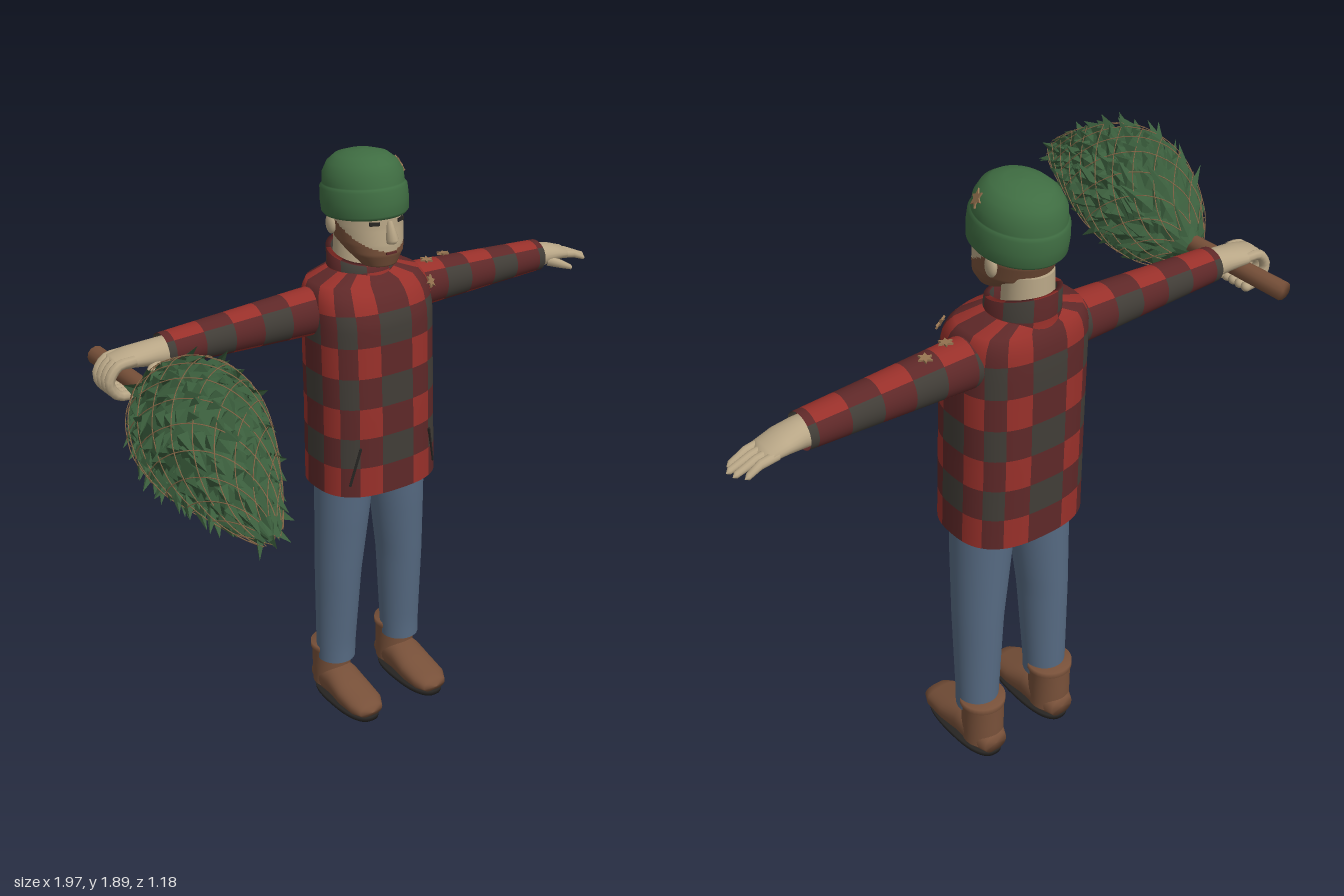
import * as THREE from 'three';
import { mergeGeometries } from 'three/addons/utils/BufferGeometryUtils.js';

const X = 0.096; // centre line of the man

const material = (name, color, extra = {}) => {
  const m = new THREE.MeshStandardMaterial({ color, ...extra });
  m.name = name;
  return m;
};

// Places ring coordinates (a, t, b) so that lofts run along each axis
const alongY = (a, t, b) => [a, t, b];
const alongX = (a, t, b) => [t, b, a];
const alongZ = (a, t, b) => [b, a, t];

// Evenly spaced rings between key rings [t, centreA, centreB, radiusA, radiusB]
function resample(keys, count) {
  const first = keys[0][0], last = keys[keys.length - 1][0], out = [];
  for (let k = 0; k <= count; k++) {
    const t = first + (last - first) * k / count;
    let s = 0;
    while (s < keys.length - 2 && t > keys[s + 1][0]) s++;
    const f = (t - keys[s][0]) / (keys[s + 1][0] - keys[s][0]);
    out.push(keys[s].map((v, c) => v + (keys[s + 1][c] - v) * f));
  }
  return out;
}

// Skin of superellipse rings; pick(i, j, x, y, z) chooses the material of a face
function loft(rings, n, place, pick = () => 0, power = 2) {
  const pos = [], lists = [];
  const bend = v => Math.sign(v) * Math.abs(v) ** (2 / power);
  for (const [t, ca, cb, ra, rb] of rings) {
    for (let i = 0; i < n; i++) {
      const w = i / n * Math.PI * 2;
      pos.push(...place(ca + ra * bend(Math.cos(w)), t, cb + rb * bend(Math.sin(w))));
    }
  }
  for (let j = 0; j < rings.length - 1; j++) {
    for (let i = 0; i < n; i++) {
      const p = j * n + i, q = j * n + (i + 1) % n;
      const mid = [0, 1, 2].map(c => (pos[p * 3 + c] + pos[(q + n) * 3 + c]) / 2);
      (lists[pick(i, j, ...mid)] ??= []).push(p, p + n, q, q, p + n, q + n);
    }
  }
  const g = new THREE.BufferGeometry();
  g.setAttribute('position', new THREE.Float32BufferAttribute(pos, 3));
  let start = 0;
  lists.forEach((l, m) => { g.addGroup(start, l.length, m); start += l.length; });
  g.setIndex(lists.flat());
  g.computeVertexNormals();
  return g;
}

const tube = (points, r, seg = 12, sides = 8) => new THREE.TubeGeometry(
  new THREE.CatmullRomCurve3(points.map(p => new THREE.Vector3(...p))), seg, r, sides);

export function createModel() {
  const model = new THREE.Group();
  const skin = material('skin', 0xb8a686), hatGreen = material('hat green', 0x3f6d42);
  const needle = material('needle green', 0x3a5d3c, { side: THREE.DoubleSide, flatShading: true });
  const denim = material('denim', 0x566a82), brown = material('brown', 0x775039);
  const red = material('red', 0x98302a, { side: THREE.DoubleSide });
  const darkRed = material('dark red', 0x5e2828, { side: THREE.DoubleSide });
  const grey = material('dark grey', 0x413d37, { side: THREE.DoubleSide });
  const tan = material('tan', 0x957350), black = material('black', 0x272523);
  const plaid = [red, darkRed, grey];
  const check = (p, q) => (p & 1) + (q & 1);

  const add = (name, geometry, mat, p = [0, 0, 0], r = [0, 0, 0]) => {
    const m = new THREE.Mesh(geometry, mat);
    m.name = name;
    m.position.set(...p);
    m.rotation.set(...r);
    model.add(m);
    return m;
  };
  const ball = (name, mat, p, s) => add(name, new THREE.SphereGeometry(1, 16, 12), mat, p).scale.set(...s);

  // Checked jacket, hem and collar
  const body = resample([[0.83, X, -0.388, 0.208, 0.164], [1.1, X, -0.388, 0.203, 0.165],
    [1.4, X, -0.39, 0.203, 0.16], [1.47, X, -0.4, 0.2, 0.145],
    [1.505, X, -0.41, 0.18, 0.12], [1.53, X, -0.42, 0.1, 0.09]], 28);
  add('jacket', loft(body, 64, alongY,
    (i, j) => check(Math.floor((i + 2) / 4) + 1, Math.floor(j / 4)), 2.6), plaid);
  add('jacketUnderside', loft([[0.845, X, -0.388, 0, 0], [0.835, X, -0.388, 0.205, 0.161]], 64, alongY, undefined, 2.6), grey);
  add('collar', loft([[1.5, X, -0.42, 0.115, 0.11], [1.53, X, -0.422, 0.105, 0.105], [1.575, X, -0.425, 0.104, 0.103],
    [1.575, X, -0.425, 0.088, 0.088], [1.5, X, -0.42, 0.085, 0.085]], 48, (a, t, b) =>
    [a, t > 1.55 ? t - (b + 0.425) * 0.25 : t, b],
    (i, j) => check(Math.floor((i + 3) / 6), j)), plaid);

  for (const s of [-1, 1]) {
    // Sleeves with checks along and around
    const sleeve = [[0.12, -0.42, 1.415, 0.074, 0.077], [0.22, -0.42, 1.415, 0.07, 0.074],
      [0.695, -0.42, 1.41, 0.055, 0.051]].map(([d, ...r]) => [X + s * d, ...r]);
    if (s < 0) sleeve.reverse();
    add('sleeve', loft(resample(sleeve, 24), 32, alongX, (i, j, x) =>
      check(Math.floor((i + 4) / 8) + 1, Math.floor(Math.abs(x - X) / 0.096))), plaid);
    // Trouser legs
    const leg = (y, off, z, rx, rz) => [y, X + s * off, z, rx, rz];
    add('trouserLeg', loft(resample([leg(0.155, 0.131, -0.416, 0.064, 0.066), leg(0.21, 0.13, -0.416, 0.066, 0.067),
      leg(0.5, 0.122, -0.403, 0.075, 0.084), leg(0.72, 0.107, -0.394, 0.088, 0.095),
      leg(0.86, 0.098, -0.39, 0.096, 0.1)], 20), 32, alongY), denim);
    // Boots: shaft, rim, foot and sole
    const bx = X + s * 0.131;
    add('bootShaft', loft([[0.04, bx, -0.448, 0.063, 0.064], [0.12, bx, -0.446, 0.064, 0.067], [0.18, bx, -0.444, 0.067, 0.064],
      [0.18, bx, -0.444, 0.071, 0.068], [0.2, bx, -0.444, 0.071, 0.068], [0.2, bx, -0.444, 0, 0]], 32, alongY), brown);
    add('bootFoot', loft([[-0.516, 0.05, bx, 0, 0], [-0.513, 0.05, bx, 0.033, 0.04], [-0.46, 0.064, bx, 0.056, 0.062],
      [-0.38, 0.066, bx, 0.056, 0.062], [-0.31, 0.051, bx, 0.043, 0.066], [-0.24, 0.044, bx, 0.033, 0.062],
      [-0.205, 0.038, bx, 0.022, 0.044], [-0.194, 0.035, bx, 0, 0]], 32, alongZ, undefined, 2.4), brown);
    add('bootSole', loft([[0, bx, -0.356, 0, 0], [0, bx, -0.356, 0.061, 0.157], [0.018, bx, -0.356, 0.064, 0.16],
      [0.02, bx, -0.356, 0, 0]], 40, alongY, undefined, 2.5), black);
    // Pocket slits
    add('pocket', new THREE.BoxGeometry(0.008, 0.135, 0.016), black,
      [X + s * 0.142, 0.935, -0.256], [0, s * 0.6, s * 0.27]);
    // Ears, eyes and eyebrows
    ball('ear', skin, [X + s * 0.105, 1.675, -0.42], [0.013, 0.032, 0.022]);
    add('eye', new THREE.BoxGeometry(0.03, 0.011, 0.009), black, [X + s * 0.046, 1.699, -0.275], [0, s * 0.38, 0]);
    add('eyebrow', new THREE.BoxGeometry(0.045, 0.009, 0.009), brown, [X + s * 0.046, 1.723, -0.273], [0, s * 0.38, -s * 0.1]);
  }
  add('trouserSeat', loft([[0.8, X, -0.39, 0, 0], [0.815, X, -0.39, 0.06, 0.07], [0.86, X, -0.39, 0.15, 0.1]], 32, alongY), denim);

  // Head with beard and hair as faces of the same surface
  const head = resample([[1.553, X, -0.315, 0, 0], [1.562, X, -0.32, 0.055, 0.052], [1.6, X, -0.345, 0.085, 0.09],
    [1.63, X, -0.375, 0.098, 0.12], [1.68, X, -0.388, 0.104, 0.127], [1.78, X, -0.39, 0.105, 0.125]], 50);
  add('head', loft(head, 72, alongY, (i, j, x, y, z) =>
    (z > -0.43 && y < 1.618 + (-0.265 - z) * 0.55) || (z < -0.42 && y > 1.615) ? 1 : 0), [skin, brown]);
  add('neck', new THREE.CylinderGeometry(0.068, 0.075, 0.16, 28), skin, [X, 1.57, -0.445]);
  add('nose', loft([[1.634, X, -0.262, 0, 0], [1.638, X, -0.256, 0.015, 0.016], [1.652, X, -0.25, 0.018, 0.025],
    [1.705, X, -0.266, 0.009, 0.01]], 12, alongY), skin);
  add('mouth', new THREE.BoxGeometry(0.035, 0.006, 0.008), darkRed, [X, 1.607, -0.256]);

  // Knitted hat with a turned-up brim
  add('hat', loft([[-0.06, 0, 0, 0.105, 0.12], [-0.065, 0, 0, 0.118, 0.137], [-0.055, 0, 0, 0.126, 0.145],
    [-0.02, 0, 0, 0.128, 0.147], [0.018, 0, 0, 0.126, 0.144], [0.026, 0, 0, 0.119, 0.138], [0.03, 0, 0, 0.119, 0.136],
    [0.06, 0, 0, 0.117, 0.132], [0.09, 0, 0, 0.1, 0.117], [0.11, 0, 0, 0.076, 0.09], [0.12, 0, 0, 0.043, 0.05],
    [0.123, 0, 0, 0, 0]], 48, alongY), hatGreen, [X, 1.765, -0.398], [-0.09, 0, 0]);

  // Small star patches on hat, chest and sleeve
  const star = new THREE.Shape(Array.from({ length: 12 }, (_, k) => {
    const r = k % 2 ? 0.5 : 1, w = k * Math.PI / 6;
    return new THREE.Vector2(Math.cos(w) * r, Math.sin(w) * r);
  }));
  for (const [p, d, r] of [[[0.195, 1.838, -0.355], [0.9, 0.5, 0.3], 0.027], [[0.12, 1.855, -0.305], [0.1, 0.7, 0.7], 0.014],
    [[0.268, 1.468, -0.296], [0.4, 0.4, 0.8], 0.022], [[0.337, 1.488, -0.41], [0, 1, 0.1], 0.022],
    [[0.42, 1.485, -0.435], [0, 1, -0.1], 0.022]]) {
    const m = add('starPatch', new THREE.ExtrudeGeometry(star, { depth: 1, bevelEnabled: false }), tan, p);
    m.lookAt(p[0] + d[0], p[1] + d[1], p[2] + d[2]);
    m.scale.set(r, r, 0.006);
  }

  // Open left hand
  add('leftPalm', loft([[0.77, -0.42, 1.408, 0.046, 0.042], [0.8, -0.42, 1.408, 0.047, 0.04], [0.85, -0.424, 1.408, 0.051, 0.03],
    [0.9, -0.426, 1.4, 0.048, 0.02], [0.92, -0.426, 1.396, 0, 0]], 24, alongX), skin);
  [0.975, 0.995, 1, 0.985].forEach((tip, k) => {
    const z = -0.462 + k * 0.0235;
    add('leftFinger', loft([[0.88, z, 1.401, 0.013, 0.014], [0.93, z, 1.393, 0.0125, 0.013],
      [tip - 0.01, z, 1.373, 0.01, 0.009], [tip, z, 1.368, 0, 0]], 12, alongX), skin);
  });
  add('leftThumb', loft([[0.81, -0.39, 1.395, 0.015, 0.018], [0.86, -0.37, 1.378, 0.014, 0.015],
    [0.895, -0.36, 1.363, 0.009, 0.009], [0.9, -0.358, 1.36, 0, 0]], 12, alongX), skin);

  // Right hand gripping the trunk
  add('rightPalm', loft([[-0.765, -0.425, 1.405, 0, 0], [-0.755, -0.425, 1.408, 0.045, 0.02], [-0.7, -0.425, 1.412, 0.053, 0.028],
    [-0.63, -0.42, 1.41, 0.047, 0.038], [-0.58, -0.42, 1.408, 0.046, 0.042]], 24, alongX), skin);
  for (let k = 0; k < 4; k++) {
    const z = -0.463 + k * 0.026;
    add('rightFinger', tube([[-0.7, 1.415, z], [-0.755, 1.408, z], [-0.784, 1.365, z], [-0.76, 1.322, z], [-0.715, 1.315, z]], 0.0155), skin);
    ball('rightFingertip', skin, [-0.715, 1.315, z], [0.0155, 0.0155, 0.0155]);
  }
  add('rightThumb', tube([[-0.63, 1.395, -0.39], [-0.665, 1.365, -0.37], [-0.69, 1.325, -0.37], [-0.72, 1.315, -0.368]], 0.015), skin);

  // Fir tree: trunk, core, needle tufts and netting
  add('trunk', loft([[-0.6, 1.362, -0.72, 0, 0], [-0.6, 1.362, -0.72, 0.029, 0.029],
    [-0.15, 1.358, -0.71, 0.026, 0.026]], 12, alongZ), brown);
  const axis = u => [1.35 - 0.03 * u + 0.06 * Math.sin(Math.PI * u), -0.7 - 0.135 * u];
  const radii = [0.03, 0.1, 0.143, 0.165, 0.17, 0.162, 0.143, 0.115, 0.085, 0.05, 0.008];
  const radius = u => {
    const v = Math.min(Math.max(u, 0), 0.9999) * 10, k = Math.floor(v);
    return radii[k] + (radii[k + 1] - radii[k]) * (v - k);
  };
  const at = (u, w, lift) => {
    const [cy, cx] = axis(u), r = radius(u) + lift;
    return [cx + Math.sin(w) * r, cy + Math.cos(w) * r, -0.25 + 0.835 * u];
  };
  const core = Array.from({ length: 17 }, (_, k) => {
    const u = k / 16, r = radius(u) * 0.93;
    return [-0.25 + 0.82 * u, ...axis(u), r, r];
  });
  add('treeCore', loft(core, 16, alongZ), needle);

  let seed = 7;
  const rand = () => (seed = seed * 16807 % 2147483647) / 2147483647;
  const tufts = [];
  for (let row = 0; row < 22; row++) {
    const count = Math.round(6 + radius(row / 22) * 75);
    for (let k = 0; k < count; k++) {
      const u = row / 24 + rand() * 0.03, w = (k + (row % 2) / 2 + rand() * 0.5) / count * Math.PI * 2;
      const half = Math.min(0.55, 0.024 / radius(u)), long = 0.075 + rand() * 0.05;
      const root = at(u, w, -0.015), tip = at(Math.min(1, u + long), w + (rand() - 0.5) * 0.3, 0.008 + rand() ** 3 * 0.045);
      const ridge = at(u + 0.035, w, 0.016), a = at(u + 0.035, w - half, -0.004), b = at(u + 0.035, w + half, -0.004);
      tufts.push(...root, ...a, ...ridge, ...ridge, ...a, ...tip, ...root, ...ridge, ...b, ...b, ...ridge, ...tip);
    }
  }
  const needles = new THREE.BufferGeometry();
  needles.setAttribute('position', new THREE.Float32BufferAttribute(tufts, 3));
  needles.computeVertexNormals();
  add('needleTufts', needles, needle);

  const strands = [];
  for (const dir of [-1, 1]) {
    for (let k = 0; k < 11; k++) {
      const path = Array.from({ length: 25 }, (_, i) =>
        at(0.03 + i / 24 * 0.93, k / 11 * Math.PI * 2 + dir * i / 24 * 4.5, 0.016));
      strands.push(tube(path, 0.0016, 60, 3));
    }
  }
  add('netting', mergeGeometries(strands), tan);

  return model;
}
